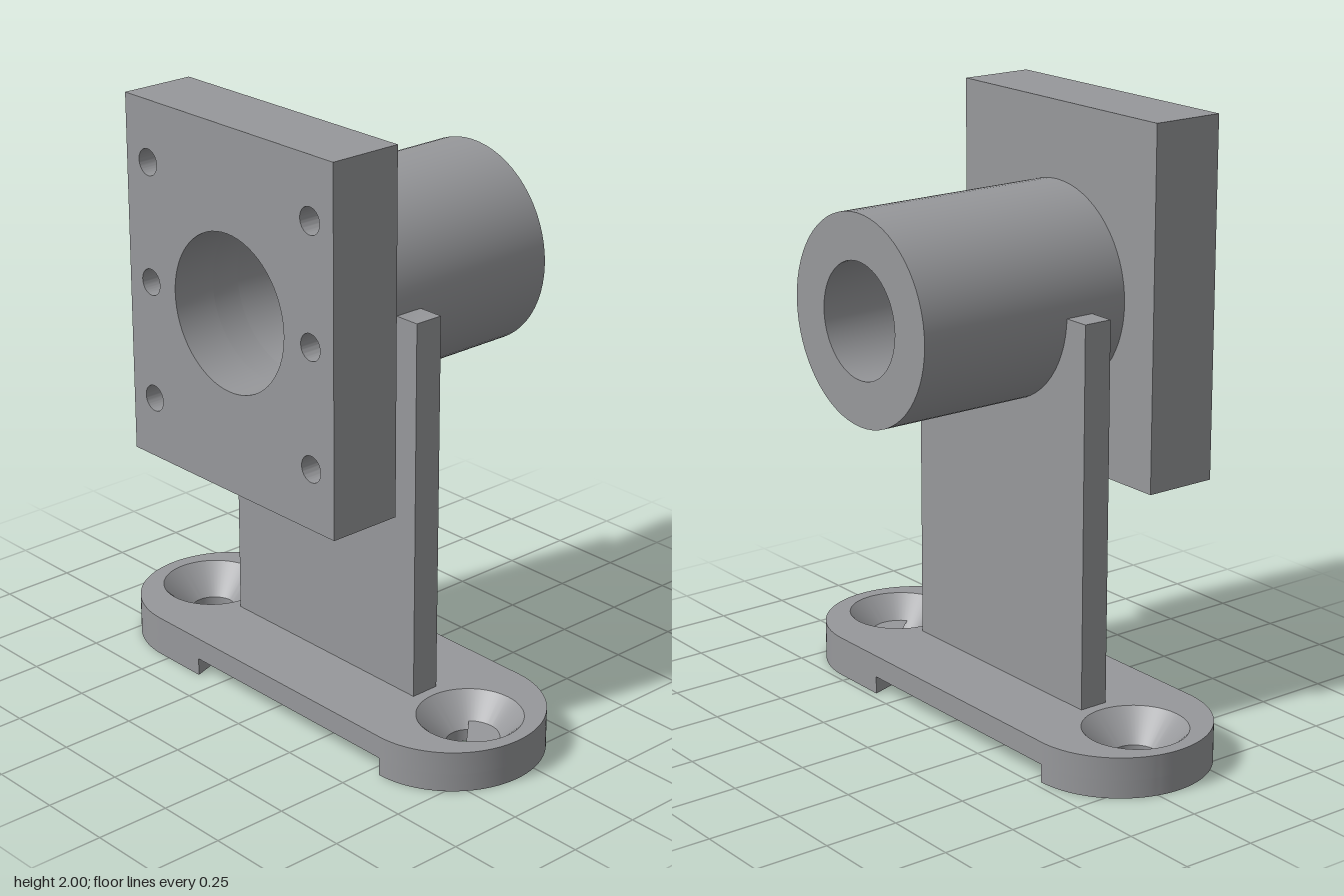
import * as THREE from 'three';
import { toCreasedNormals } from 'three/addons/utils/BufferGeometryUtils.js';

const BORE_Y = 1.41, BASE_Z = 0.08, BASE_R = 0.305, BASE_X = 0.54, HOLE_X = 0.63;

export function createModel() {
  const group = new THREE.Group();
  const grey = new THREE.MeshStandardMaterial({ color: 0x97989b });
  grey.name = 'machined grey';

  const add = (name, geometry) => {
    const mesh = new THREE.Mesh(toCreasedNormals(geometry, 0.6), grey);
    mesh.name = name;
    group.add(mesh);
    return mesh;
  };
  const addHole = (shape, x, y, r) => {
    shape.holes.push(new THREE.Path().absarc(x, y, r, 0, Math.PI * 2, true));
  };
  const extrude = (shape, depth) =>
    new THREE.ExtrudeGeometry(shape, { depth, bevelEnabled: false, curveSegments: 32 });
  const lathe = (points) =>
    new THREE.LatheGeometry(points.map(([r, y]) => new THREE.Vector2(r, y)), 64);

  // Square front plate: drilled front layer over a layer that closes the screw holes
  const plateLayer = (drilled) => {
    const s = new THREE.Shape();
    s.moveTo(-0.475, 0.82).lineTo(0.475, 0.82).lineTo(0.475, 2).lineTo(-0.475, 2).closePath();
    addHole(s, 0, BORE_Y, 0.255);
    if (drilled) {
      for (const x of [-0.373, 0.373])
        for (const y of [1.02, 1.41, 1.8]) addHole(s, x, y, 0.043);
    }
    return s;
  };
  add('plateFront', extrude(plateLayer(true), 0.15).translate(0, 0, 0.36));
  add('plateBack', extrude(plateLayer(false), 0.1).translate(0, 0, 0.26));

  // Rear tube with a tapering bore
  add('tube', lathe([
    [0.187, -0.51], [0.337, -0.51], [0.337, 0.26], [0.255, 0.26], [0.187, -0.51],
  ]).rotateX(Math.PI / 2).translate(0, BORE_Y, 0));

  // Upright web, cut away to cradle the tube
  const web = new THREE.Shape();
  web.moveTo(-0.425, 0.13).lineTo(0.425, 0.13).lineTo(0.425, 1.4).lineTo(0.33, 1.4);
  web.absarc(0, BORE_Y, 0.33, -0.03, -Math.PI + 0.03, true);
  web.lineTo(-0.425, 1.4).closePath();
  add('web', extrude(web, 0.1).translate(0, 0, 0.03));

  // Shapes drawn in plan are laid flat with their lower face at y
  const layFlat = (geometry, y) => geometry.rotateX(-Math.PI / 2).translate(0, y, BASE_Z);

  // Rounded base slab
  const slab = new THREE.Shape();
  slab.absarc(BASE_X, 0, BASE_R, -Math.PI / 2, Math.PI / 2, false);
  slab.absarc(-BASE_X, 0, BASE_R, Math.PI / 2, Math.PI * 1.5, false);
  slab.closePath();
  for (const side of [-1, 1]) addHole(slab, side * HOLE_X, 0, 0.17);
  add('baseSlab', layFlat(extrude(slab, 0.075), 0.06));

  // Two feet under the slab ends, each with a countersunk screw seat
  for (const side of [-1, 1]) {
    const foot = new THREE.Shape();
    foot.moveTo(side * 0.34, -side * BASE_R);
    const start = side > 0 ? -Math.PI / 2 : Math.PI / 2;
    foot.absarc(side * BASE_X, 0, BASE_R, start, start + Math.PI, false);
    foot.lineTo(side * 0.34, side * BASE_R).closePath();
    addHole(foot, side * HOLE_X, 0, 0.17);
    const label = side > 0 ? 'left' : 'right';
    add(label + 'Foot', layFlat(extrude(foot, 0.06), 0));
    add(label + 'ScrewSeat', lathe([[0.17, 0.135], [0.075, 0.04], [0.075, 0], [0.17, 0]])
      .translate(side * HOLE_X, 0, BASE_Z));
  }
  return group;
}
